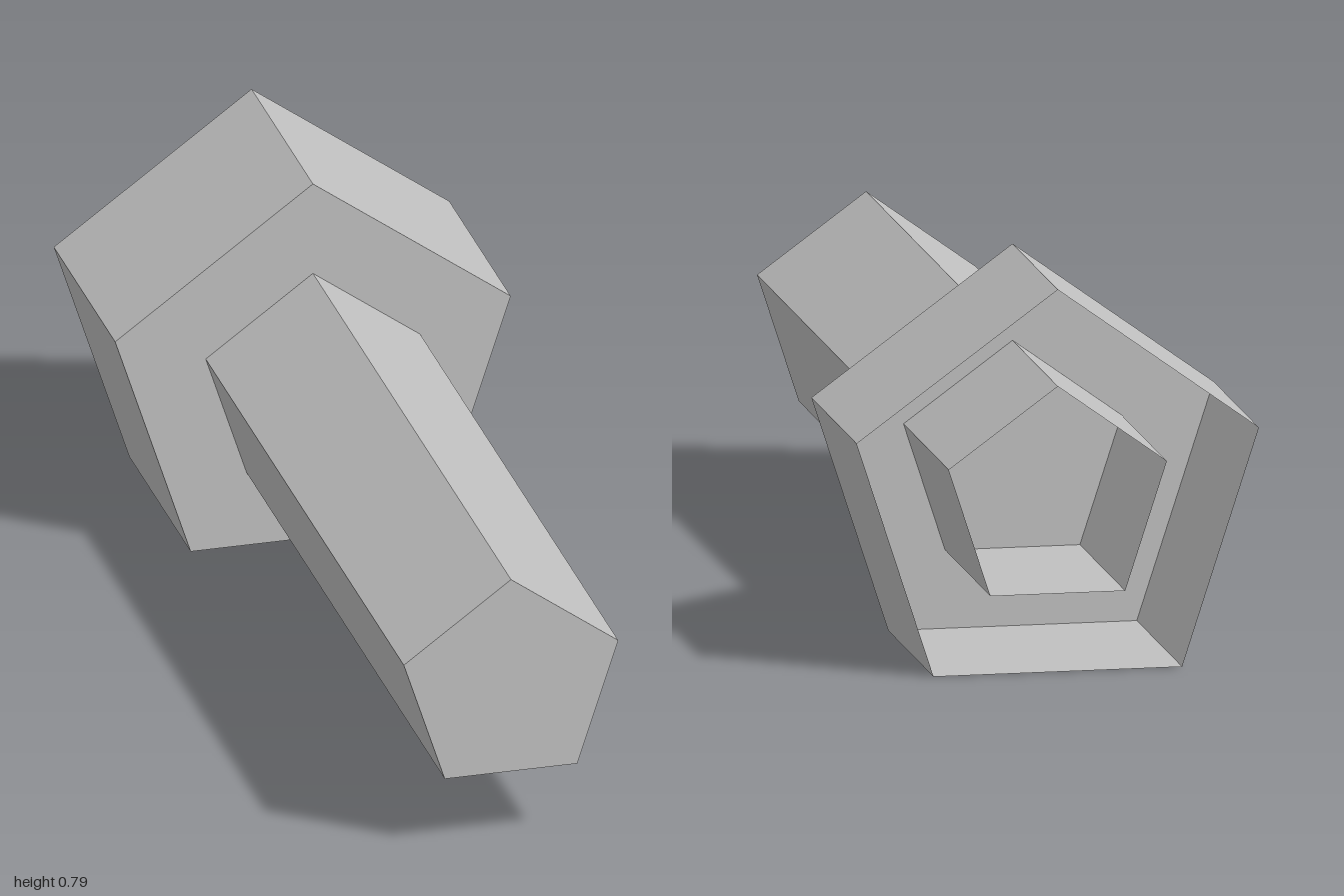
import * as THREE from 'three';

const AXIS_Y = 0.355; // height of the common axis
const BACK_Z = -1;

const grey = new THREE.MeshStandardMaterial({ color: 0xc0c0c0, flatShading: true, side: THREE.DoubleSide });
grey.name = 'plain grey';

// Thin-walled five-sided tube along z, point upwards: open at the back, capped at the front
function pentagonCup(name, radius, frontZ) {
  const length = frontZ - BACK_Z;
  const group = new THREE.Group();
  group.name = name;

  const walls = new THREE.CylinderGeometry(radius, radius, length, 5, 1, true, Math.PI);
  walls.rotateX(Math.PI / 2);
  const wallMesh = new THREE.Mesh(walls, grey);
  wallMesh.name = name + 'Walls';
  wallMesh.position.set(0, AXIS_Y, (frontZ + BACK_Z) / 2);

  const cap = new THREE.CircleGeometry(radius, 5, Math.PI / 2);
  const capMesh = new THREE.Mesh(cap, grey);
  capMesh.name = name + 'FrontCap';
  capMesh.position.set(0, AXIS_Y, frontZ);

  group.add(wallMesh, capMesh);
  return group;
}

export function createModel() {
  const model = new THREE.Group();
  model.name = 'pentagonBolt';
  model.add(pentagonCup('head', 0.439, -0.527)); // wide hollow head
  model.add(pentagonCup('shaft', 0.238, 1)); // shaft running through the head to its open back
  return model;
}
